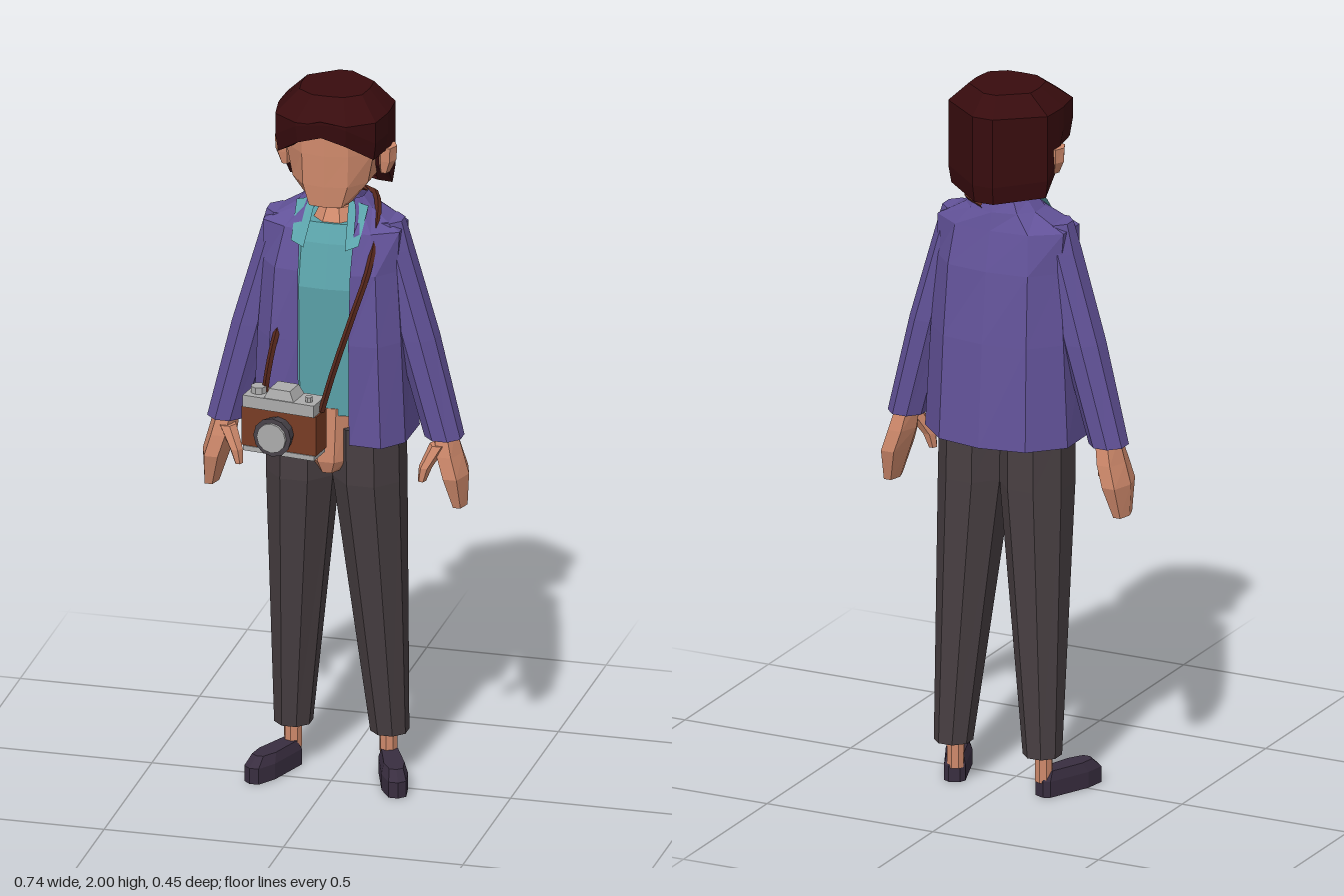
import * as THREE from 'three';

const mat = (name, color, side = THREE.FrontSide) => {
  const m = new THREE.MeshStandardMaterial({ color, side, flatShading: true });
  m.name = name;
  return m;
};

// Skins a stack of rings (lowest first, each running front -> +x -> back -> -x).
function loft(rings, { closed = true, bottom = closed, top = closed, mirror = false } = {}) {
  if (mirror) rings = rings.map(r => r.map(([x, y, z]) => [-x, y, z]).reverse());
  const pos = [], n = rings[0].length;
  const tri = (a, b, c) => pos.push(...a, ...b, ...c);
  for (let k = 0; k + 1 < rings.length; k++) {
    const lo = rings[k], hi = rings[k + 1];
    for (let i = 0; i < (closed ? n : n - 1); i++) {
      const j = (i + 1) % n;
      tri(lo[i], lo[j], hi[j]);
      tri(lo[i], hi[j], hi[i]);
    }
  }
  const first = rings[0], last = rings[rings.length - 1];
  for (let i = 1; i + 1 < n; i++) {
    if (bottom) tri(first[0], first[i + 1], first[i]);
    if (top) tri(last[0], last[i], last[i + 1]);
  }
  const g = new THREE.BufferGeometry();
  g.setAttribute('position', new THREE.Float32BufferAttribute(pos, 3));
  g.computeVertexNormals();
  return g;
}

// Polygon ring whose flats (not corners) reach the half-widths rx and rz.
function ring(cx, y, cz, rx, rz, n = 8) {
  const k = 1 / Math.cos(Math.PI / n);
  return Array.from({ length: n }, (_, i) => {
    const a = (i - 0.5) / n * Math.PI * 2;
    return [cx + Math.sin(a) * rx * k, y, cz + Math.cos(a) * rz * k];
  });
}
const rings = (rows, n) => rows.map(r => ring(...r, n));

// Completes a half outline of [x, z] (or [x, z, y]) points by mirroring it in x.
const both = half => half.concat(half.filter(p => p[0] !== 0).reverse().map(([x, ...r]) => [-x, ...r]));
const level = (y, half, s = 1, cz = 0) => both(half).map(([x, z]) => [x * s, y, cz + (z - cz) * s]);

export function createModel() {
  const model = new THREE.Group();
  model.name = 'personWithCamera';
  const hair = mat('hair dark red', 0x380c0e, THREE.DoubleSide);
  const skin = mat('skin', 0xd08a6c);
  const purple = mat('jacket purple', 0x63539a, THREE.DoubleSide);
  const teal = mat('shirt teal', 0x5ba3aa, THREE.DoubleSide);
  const grey = mat('trouser grey', 0x483f42);
  const shoeMat = mat('shoe purple grey', 0x392e40);
  const silver = mat('camera silver', 0xacacac);
  const leather = mat('camera leather', 0x783c24);
  const dark = mat('lens dark', 0x49434a);
  const strapMat = mat('strap brown', 0x58281c);

  const add = (name, geo, m, parent = model, x = 0, y = 0, z = 0) => {
    const mesh = new THREE.Mesh(geo, m);
    mesh.name = name;
    mesh.position.set(x, y, z);
    parent.add(mesh);
    return mesh;
  };

  // Head and neck
  const face = [[0, 0.078], [0.065, 0.066], [0.122, 0.01], [0.12, -0.1], [0.05, -0.17]];
  const jaw = [[0, 0.072], [0.045, 0.064], [0.06, 0.01], [0.06, -0.07], [0.03, -0.12]];
  const cheek = [[0, 0.076], [0.062, 0.065], [0.105, 0.01], [0.11, -0.09], [0.05, -0.15]];
  add('head', loft([level(1.69, jaw), level(1.75, cheek), level(1.84, face), level(1.94, face)]), skin);
  add('neck', new THREE.CylinderGeometry(0.036, 0.04, 0.2, 8), skin, model, 0, 1.64, -0.065);
  add('upperChest', loft(rings([[0, 1.58, -0.055, 0.075, 0.08], [0, 1.655, -0.062, 0.042, 0.045]], 8)), skin);

  // Hair: each outline point carries its own lower edge, giving the parted fringe
  const crown = [[0, 0.115, 1.905], [0.07, 0.112, 1.885], [0.14, 0.06, 1.835], [0.153, -0.02, 1.835],
    [0.153, -0.05, 1.77], [0.15, -0.11, 1.71], [0.03, -0.203, 1.7]];
  const edge = (s, dy) => both(crown).map(([x, z, y]) => [x * s, y + dy, -0.04 + (z + 0.04) * s]);
  const under = both(crown).map(([x, z, y]) => [x * 0.7, y + 0.01, -0.04 + (z + 0.04) * 0.7]);
  add('hair', loft([under, edge(y0Taper(), 0), edge(1, 0.05), level(1.945, crown), level(2, crown, 0.62, -0.085)],
    { bottom: false }), hair);

  // Torso: shirt with a crease at the chest, and the bare belly below it
  const trunk = (f, w) => [[0, f], [0.075, f - 0.006], [w, -0.01], [w, -0.1], [0.07, -0.14]];
  add('shirt', loft([level(1.08, trunk(0.05, 0.14)), level(1.45, trunk(0.066, 0.15)),
    level(1.57, trunk(0.036, 0.14)), level(1.62, trunk(0.012, 0.085), 0.9)]), teal);
  add('belly', loft(rings([[0, 0.91, -0.01, 0.03, 0.055], [0, 0.945, 0, 0.055, 0.057],
    [0, 1.1, -0.01, 0.066, 0.062]], 8)), skin);

  // Open jacket, from the left front edge round the back to the right front edge
  add('jacketBody', loft([
    level(1.01, [[0.07, 0.078], [0.16, 0.084], [0.212, 0.02], [0.215, -0.12], [0.13, -0.205], [0, -0.228]]),
    level(1.3, [[0.07, 0.085], [0.15, 0.08], [0.2, 0.02], [0.2, -0.115], [0.125, -0.19], [0, -0.207]]),
    level(1.5, [[0.072, 0.076], [0.14, 0.066], [0.186, 0.01], [0.186, -0.105], [0.12, -0.172], [0, -0.185]]),
    level(1.61, [[0.075, 0.046], [0.12, 0.038], [0.19, 0], [0.19, -0.095], [0.11, -0.15], [0, -0.16]]),
    level(1.66, [[0.07, 0.008], [0.085, -0.01], [0.105, -0.035], [0.105, -0.095], [0.07, -0.135], [0, -0.15]]),
    level(1.69, [[0.06, -0.015], [0.07, -0.025], [0.08, -0.04], [0.08, -0.09], [0.055, -0.125], [0, -0.138]]),
  ], { closed: false }), purple);

  for (const s of [1, -1]) {
    const mirror = s < 0, side = mirror ? 'right' : 'left';

    // Turned-out collar, showing the lining
    add(side + 'Collar', loft([
      [[0.058, 1.57, 0.075], [0.094, 1.585, 0.068]],
      [[0.045, 1.685, -0.015], [0.1, 1.672, -0.015]],
    ], { closed: false, mirror }), teal);

    // Sleeve, hand and thumb
    add(side + 'Sleeve', loft(rings([[0.303, 1.015, -0.048, 0.05, 0.052], [0.228, 1.3, -0.05, 0.055, 0.062],
      [0.16, 1.55, -0.05, 0.05, 0.06], [0.143, 1.63, -0.05, 0.045, 0.046]], 8), { mirror }), purple);
    add(side + 'Hand', loft(rings([[0.346, 0.82, -0.05, 0.018, 0.036], [0.333, 0.91, -0.05, 0.033, 0.062],
      [0.315, 0.97, -0.05, 0.034, 0.055], [0.3, 1.04, -0.05, 0.03, 0.04]], 6), { mirror }), skin);
    add(side + 'Thumb', loft(rings([[0.255, 0.9, 0.008, 0.01, 0.013], [0.264, 0.94, 0.004, 0.016, 0.019],
      [0.295, 1.0, -0.02, 0.022, 0.024]], 6), { mirror }), skin);

    // Ear
    add(side + 'Ear', loft(rings([[0.138, 1.765, -0.045, 0.012, 0.016], [0.143, 1.8, -0.05, 0.022, 0.026],
      [0.145, 1.84, -0.05, 0.022, 0.028]], 6), { mirror }), skin);

    // Trouser leg, ankle and splayed shoe
    add(side + 'TrouserLeg', loft(rings([[0.134, 0.12, -0.11, 0.049, 0.05], [0.093, 0.88, -0.058, 0.093, 0.103],
      [0.092, 1.04, -0.055, 0.092, 0.103]], 8), { mirror }), grey);
    add(side + 'Ankle', new THREE.CylinderGeometry(0.026, 0.024, 0.12, 8), skin, model, s * 0.133, 0.1, -0.1);
    const sole = [[0, 0.108], [0.024, 0.098], [0.036, 0.04], [0.032, -0.03], [0.029, -0.09], [0.015, -0.105]];
    const shoe = add(side + 'Shoe', loft([level(0, sole), level(0.045, sole), level(0.072, sole, 0.78, -0.03)]),
      shoeMat, model, s * 0.167, 0, -0.02);
    shoe.rotation.y = s * 0.38;
  }

  // Camera hanging at the waist, turned slightly
  const camera = new THREE.Group();
  camera.name = 'camera';
  camera.position.set(-0.095, 0, 0.137);
  camera.rotation.y = -0.145;
  model.add(camera);
  const box = (name, w, h, d, m, x, y, z) => add(name, new THREE.BoxGeometry(w, h, d), m, camera, x, y, z);
  box('cameraBase', 0.208, 0.014, 0.078, silver, 0, 1.007, 0);
  box('cameraBody', 0.218, 0.112, 0.072, leather, 0, 1.07, 0);
  box('cameraTopPlate', 0.208, 0.034, 0.08, silver, 0, 1.143, 0);
  add('cameraPrism', loft([ring(0, 1.155, 0, 0.046, 0.038, 4), ring(0, 1.187, 0, 0.03, 0.03, 4)]), silver, camera);
  add('windKnob', new THREE.CylinderGeometry(0.022, 0.022, 0.02, 8), silver, camera, -0.074, 1.168, 0);
  add('shutterButton', new THREE.CylinderGeometry(0.01, 0.01, 0.016, 8), silver, camera, 0.078, 1.166, 0.012);
  const disc = (name, r1, r2, h, m, z) => {
    add(name, new THREE.CylinderGeometry(r2, r1, h, 12), m, camera, -0.002, 1.066, z).rotation.x = Math.PI / 2;
  };
  disc('lensBarrel', 0.045, 0.055, 0.045, dark, 0.055);
  disc('lensGlass', 0.042, 0.042, 0.01, silver, 0.08);

  // Strap over the left shoulder, and its other end tucked into the jacket
  const strap = (name, pts) => add(name, new THREE.TubeGeometry(
    new THREE.CatmullRomCurve3(pts.map(p => new THREE.Vector3(...p))), 20, 0.009, 4), strapMat);
  strap('strapFront', [[0.012, 1.13, 0.15], [0.045, 1.25, 0.142], [0.09, 1.4, 0.118], [0.122, 1.52, 0.07],
    [0.128, 1.61, 0.015], [0.115, 1.665, -0.06], [0.085, 1.68, -0.115], [0.03, 1.672, -0.14]]);
  strap('strapTucked', [[-0.155, 1.14, 0.12], [-0.148, 1.2, 0.118], [-0.137, 1.28, 0.1], [-0.125, 1.36, 0.05]]);

  return model;
}

// Inward taper of the hair's lower edge
function y0Taper() {
  return 0.95;
}
